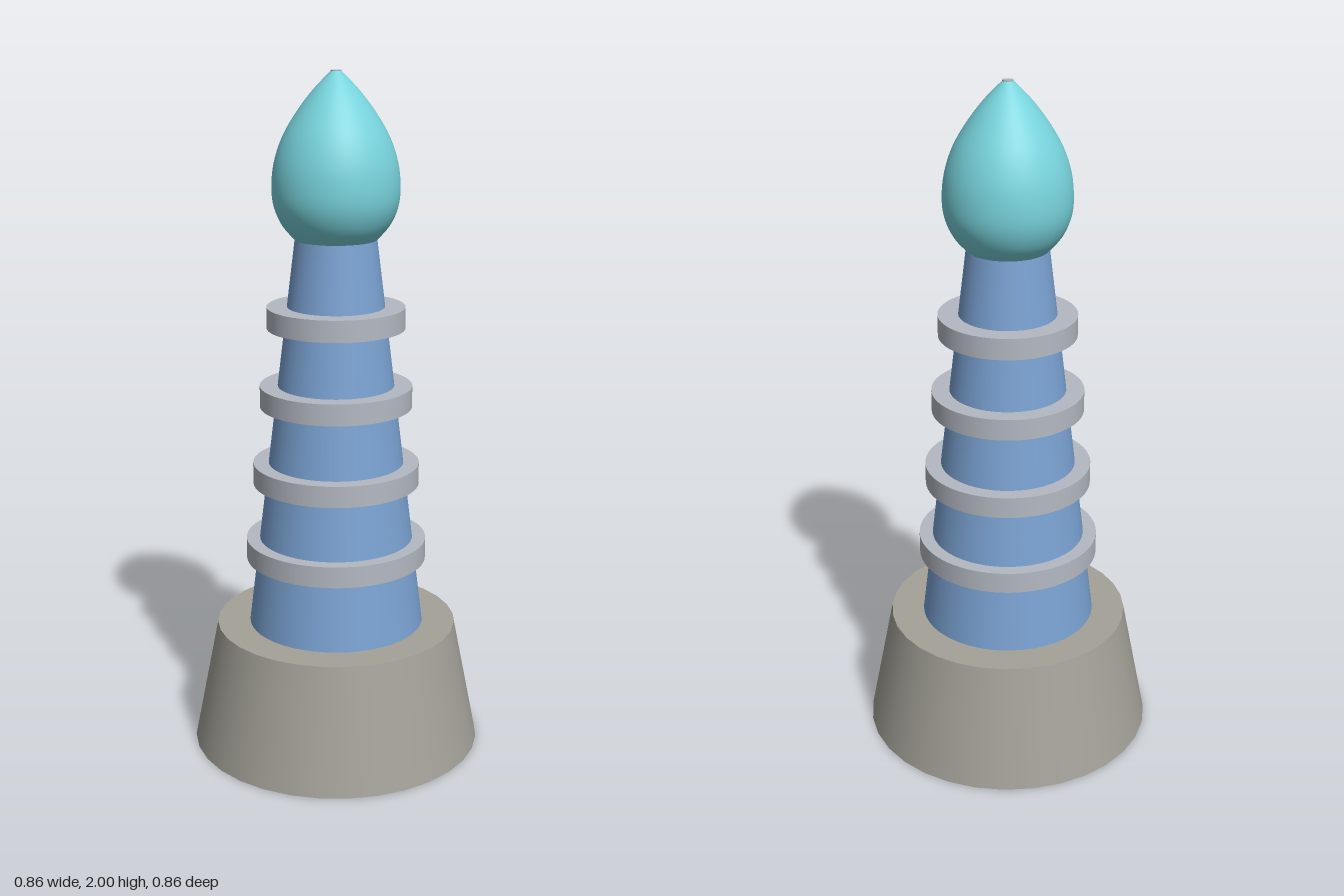
import * as THREE from 'three';

const material = (name, color) => {
  const m = new THREE.MeshStandardMaterial({ color });
  m.name = name;
  return m;
};

export function createModel() {
  const model = new THREE.Group();
  model.name = 'beaconTower';

  const stone = material('warm grey stone', 0xa3a198);
  const steel = material('light steel', 0xb4b9c2);
  const blue = material('blue column', 0x7aa2d2);
  const teal = material('teal crystal', 0x78d3dc);

  // Upright round part from its bottom height to its top height
  const addRound = (name, mat, rBottom, rTop, y0, y1, sides) => {
    const mesh = new THREE.Mesh(new THREE.CylinderGeometry(rTop, rBottom, y1 - y0, sides), mat);
    mesh.name = name;
    mesh.position.y = (y0 + y1) / 2;
    model.add(mesh);
  };

  addRound('base', stone, 0.432, 0.358, 0, 0.373, 32);
  addRound('column', blue, 0.26, 0.117, 0.373, 1.535, 48);

  // Four collars shrinking toward the top
  for (let i = 0; i < 4; i++) {
    const y = 0.575 + i * 0.233;
    const r = 0.267 - i * 0.0223;
    addRound(`collar${i + 1}`, steel, r, r, y, y + 0.063, 64);
  }

  // Bud-shaped finial, smooth all round
  const curve = new THREE.SplineCurve([
    [0.117, 1.53], [0.152, 1.57], [0.175, 1.62], [0.182, 1.675], [0.175, 1.745],
    [0.152, 1.815], [0.115, 1.88], [0.066, 1.945], [0.015, 1.997],
  ].map(([r, y]) => new THREE.Vector2(r, y)));
  const finial = new THREE.Mesh(new THREE.LatheGeometry(curve.getPoints(32), 48), teal);
  finial.name = 'finial';
  model.add(finial);

  // Small flat cap closing the tip
  addRound('tipCap', steel, 0.015, 0.015, 1.994, 2, 24);

  return model;
}
